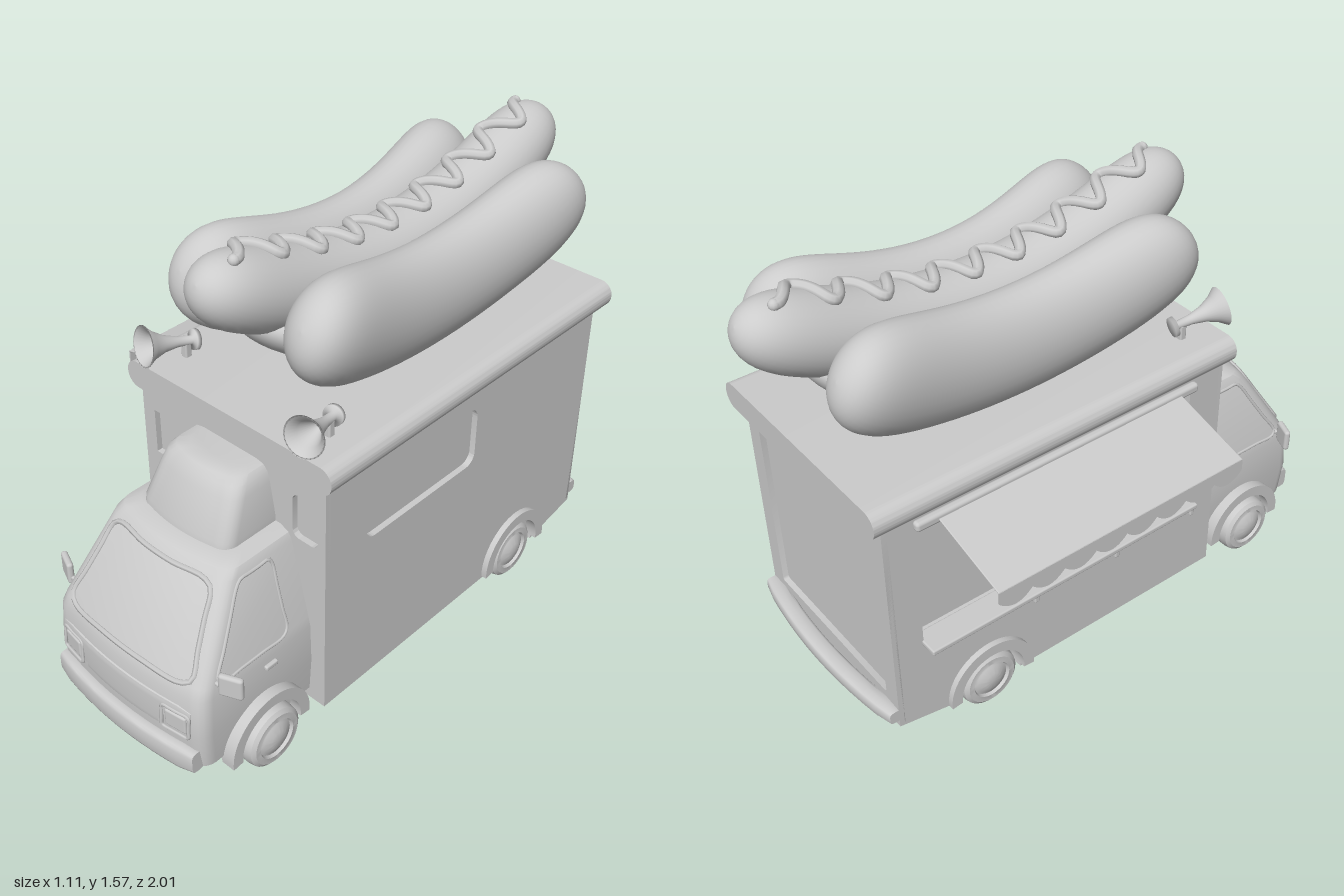
import * as THREE from 'three';
import { toCreasedNormals } from 'three/addons/utils/BufferGeometryUtils.js';
import { RoundedBoxGeometry } from 'three/addons/geometries/RoundedBoxGeometry.js';

const V = (x, y, z) => new THREE.Vector3(x, y, z);
const mat = new THREE.MeshStandardMaterial({ color: 0xcccccc, side: THREE.DoubleSide });

export function createModel() {
  const model = new THREE.Group();
  const truck = new THREE.Group();
  truck.name = 'foodTruck';
  truck.position.x = 0.13; // the awning makes the truck sit off centre
  model.add(truck);

  const add = (name, geo, x = 0, y = 0, z = 0) => {
    const m = new THREE.Mesh(geo, mat);
    m.name = name;
    m.position.set(x, y, z);
    truck.add(m);
    return m;
  };
  const box = (name, w, h, d, x, y, z, r = 0.006) =>
    add(name, new RoundedBoxGeometry(w, h, d, 2, Math.min(r, w / 2.1, h / 2.1, d / 2.1)), x, y, z);
  const extrude = (shape, depth) =>
    toCreasedNormals(new THREE.ExtrudeGeometry(shape, { depth, bevelEnabled: false, curveSegments: 16 }), 0.6);
  // Plate drawn in (z, y), running from x = xMax - depth to xMax
  const sidePlate = (name, shape, depth, xMax) => add(name, extrude(shape, depth).rotateY(-Math.PI / 2), xMax);

  const roundRect = (x0, y0, x1, y1, r, S = THREE.Path) => {
    const s = new S();
    s.absarc(x1 - r, y1 - r, r, 0, Math.PI / 2);
    s.absarc(x0 + r, y1 - r, r, Math.PI / 2, Math.PI);
    s.absarc(x0 + r, y0 + r, r, Math.PI, Math.PI * 1.5);
    s.absarc(x1 - r, y0 + r, r, Math.PI * 1.5, Math.PI * 2);
    s.closePath();
    return s;
  };

  // Closed skin over a stack of equal rings
  const skin = (rings, crease) => {
    const n = rings[0].length, pos = [], idx = [];
    rings.flat().forEach(p => pos.push(p.x, p.y, p.z));
    for (let i = 0; i < rings.length - 1; i++) for (let j = 0; j < n; j++) {
      const a = i * n + j, b = i * n + (j + 1) % n;
      idx.push(a, b, b + n, a, b + n, a + n);
    }
    [0, rings.length - 1].forEach((k, top) => {
      const c = pos.length / 3;
      const mid = rings[k].reduce((s, p) => s.add(p), V(0, 0, 0)).divideScalar(n);
      pos.push(mid.x, mid.y, mid.z);
      for (let j = 0; j < n; j++) {
        const a = k * n + j, b = k * n + (j + 1) % n;
        top ? idx.push(c, a, b) : idx.push(c, b, a);
      }
    });
    const g = new THREE.BufferGeometry();
    g.setAttribute('position', new THREE.Float32BufferAttribute(pos, 3));
    g.setIndex(idx);
    g.computeVertexNormals();
    return crease ? toCreasedNormals(g, crease) : g;
  };

  // ---- Box body: core plus wall plates with openings
  const profile = (inset, arch) => {
    const s = new THREE.Shape(), zb = -0.84 + inset, zf = 0.48 - inset;
    s.moveTo(-0.74, 0.08);
    if (arch) s.absarc(-0.49, 0.105, 0.125, Math.PI + 0.2, -0.2, true);
    s.lineTo(zf, 0.08); s.lineTo(zf, 0.95); s.lineTo(zb, 0.95); s.lineTo(zb, 0.125);
    s.closePath();
    return s;
  };
  sidePlate('bodyCore', profile(0.02), 0.70, 0.365);
  const rightWall = profile(0, true);
  rightWall.holes.push(roundRect(-0.22, 0.65, 0.30, 0.87, 0.04));
  sidePlate('windowWall', rightWall, 0.02, 0.385);
  const servingWall = profile(0, true);
  servingWall.holes.push(roundRect(-0.73, 0.44, 0.34, 0.89, 0.008));
  sidePlate('servingWall', servingWall, 0.05, -0.335);

  const frontWall = roundRect(-0.385, 0.08, 0.385, 0.95, 0.01, THREE.Shape);
  for (const s of [-1, 1]) frontWall.holes.push(roundRect(s * 0.305 - 0.05, 0.71, s * 0.305 + 0.05, 0.87, 0.025));
  add('frontWall', extrude(frontWall, 0.02), 0, 0, 0.46);
  const backWall = roundRect(-0.385, 0.125, 0.385, 0.95, 0.01, THREE.Shape);
  backWall.holes.push(roundRect(-0.32, 0.23, 0.32, 0.91, 0.01));
  add('backWall', extrude(backWall, 0.02), 0, 0, -0.84);
  add('roof', extrude(roundRect(-0.4225, 0.945, 0.4225, 1.038, 0.045, THREE.Shape), 1.38), 0, 0, -0.88);

  // ---- Serving side: counter, posts, awning, fixtures
  box('counter', 0.10, 0.02, 1.09, -0.395, 0.432, -0.19);
  for (const z of [-0.41, -0.04]) box('windowPost', 0.025, 0.46, 0.025, -0.365, 0.665, z);
  box('awningRail', 0.03, 0.035, 1.09, -0.395, 0.912, -0.19, 0.012);
  for (const z of [-0.3, 0.04, 0.38]) box('latch', 0.015, 0.035, 0.02, -0.39, 0.36, z);
  const slope = Math.atan2(0.085, 0.30);
  box('awning', 0.312, 0.007, 0.94, -0.54, 0.873, -0.19).rotation.z = slope;
  const valance = new THREE.Shape();
  const scallops = 8, sw = 0.94 / scallops;
  valance.moveTo(0.28, 0.832);
  valance.lineTo(-0.66, 0.832);
  valance.lineTo(-0.66, 0.79);
  for (let i = 0; i < scallops; i++) {
    const z = -0.66 + i * sw;
    valance.quadraticCurveTo(z + sw / 2, 0.73, z + sw, 0.79);
  }
  valance.closePath();
  sidePlate('awningValance', valance, 0.005, -0.686);

  // ---- Cab and roof fairing: stacks of rounded sections [y, half width, front z]
  const section = ([y, w, zf], r, bow) => {
    const pts = [V(w, y, 0.47), V(-w, y, 0.47)];
    const cz = zf - bow - r;
    for (let k = 0; k <= 5; k++) {
      const a = Math.PI - k * Math.PI / 10;
      pts.push(V(-w + r + r * Math.cos(a), y, cz + r * Math.sin(a)));
    }
    for (let k = 1; k < 10; k++) {
      const u = k / 5 - 1;
      pts.push(V(u * (w - r), y, zf - bow * u * u));
    }
    for (let k = 0; k <= 5; k++) {
      const a = Math.PI / 2 - k * Math.PI / 10;
      pts.push(V(w - r + r * Math.cos(a), y, cz + r * Math.sin(a)));
    }
    return pts;
  };
  const cabLevels = [[0.09, 0.30, 0.93], [0.12, 0.322, 0.96], [0.25, 0.33, 0.97], [0.39, 0.325, 0.96],
    [0.425, 0.317, 0.945], [0.69, 0.25, 0.78], [0.712, 0.238, 0.755], [0.726, 0.205, 0.715]];
  add('cab', skin(cabLevels.map(l => section(l, 0.05, 0.025)), 0.5));
  add('roofFairing', skin([[0.71, 0.185, 0.705], [0.745, 0.185, 0.70], [0.86, 0.165, 0.645], [0.895, 0.155, 0.627],
    [0.912, 0.14, 0.608], [0.918, 0.11, 0.58]].map(l => section(l, 0.05, 0.015)), 0.6));

  // Cab half width and front z at a height
  const cabAt = y => {
    const i = Math.max(0, cabLevels.findIndex(l => l[0] >= y) - 1);
    const [a, b] = [cabLevels[i], cabLevels[i + 1]], t = (y - a[0]) / (b[0] - a[0]);
    return { w: a[1] + t * (b[1] - a[1]), z: a[2] + t * (b[2] - a[2]) };
  };
  const onFront = (x, y) => {
    const c = cabAt(y);
    return V(x, y, c.z - 0.025 * (x / (c.w - 0.05)) ** 2);
  };
  // Trim following a rounded outline laid on the cab skin
  const trim = (name, corners, place, r) => {
    const pts = [], n = corners.length;
    corners.forEach((c, i) => {
      const p = new THREE.Vector2(...c), q = new THREE.Vector2(...corners[(i + 1) % n]);
      for (const t of [0.07, 0.35, 0.65, 0.93]) pts.push(place(...p.clone().lerp(q, t).toArray()));
    });
    add(name, new THREE.TubeGeometry(new THREE.CatmullRomCurve3(pts, true, 'centripetal'), 64, r, 6, true));
  };
  trim('windshieldFrame', [[-0.27, 0.425], [0.27, 0.425], [0.205, 0.685], [-0.205, 0.685]], onFront, 0.009);

  for (const s of [-1, 1]) {
    trim('sideWindowFrame', [[0.865, 0.42], [0.57, 0.42], [0.57, 0.68], [0.705, 0.68]],
      (z, y) => V(s * cabAt(y).w, y, z), 0.006);
    trim('headlightFrame', [[s * 0.23 - 0.05, 0.24], [s * 0.23 + 0.05, 0.24], [s * 0.23 + 0.05, 0.325],
      [s * 0.23 - 0.05, 0.325]], (x, y) => onFront(x, y).add(V(0, 0, 0.004)), 0.006);
    box('headlight', 0.08, 0.065, 0.02, s * 0.23, 0.283, 0.947, 0.008).rotation.y = s * 0.15;
    box('doorHandle', 0.016, 0.018, 0.05, s * 0.33, 0.36, 0.655);
    box('mirror', 0.078, 0.08, 0.022, s * 0.365, 0.445, 0.85, 0.01).rotation.y = s * -0.4 * -1;
    box('mirrorArm', 0.06, 0.014, 0.014, s * 0.325, 0.43, 0.86);
  }

  // ---- Bowed bars: bumpers and grille
  const bowedBar = (name, w, y0, y1, z, bow, thick, dir) => {
    const rings = [];
    for (let k = 0; k <= 12; k++) {
      const u = k / 6 - 1, zc = z - dir * bow * u * u, e = Math.abs(u) === 1 ? 0.85 : 1;
      rings.push([...Array(16)].map((_, j) => {
        const a = j * Math.PI / 8, sq = v => Math.sign(v) * Math.sqrt(Math.abs(v));
        return V(u * w, (y0 + y1) / 2 + e * (y1 - y0) / 2 * sq(Math.cos(a)), zc + e * thick / 2 * sq(Math.sin(a)));
      }));
    }
    add(name, skin(rings, 0.7));
  };
  bowedBar('frontBumper', 0.305, 0.11, 0.2, 0.97, 0.03, 0.055, 1);
  bowedBar('grille', 0.285, 0.225, 0.35, 0.962, 0.028, 0.018, 1);
  bowedBar('rearBumper', 0.385, 0.15, 0.205, -0.883, 0.035, 0.06, -1);

  // ---- Wheels and fenders
  const tyre = [[0, -0.05], [0.09, -0.06], [0.103, -0.05], [0.107, -0.03], [0.107, 0.03], [0.103, 0.05], [0.09, 0.06],
    [0.07, 0.06], [0.065, 0.05], [0.055, 0.055], [0.03, 0.066], [0, 0.068]].map(p => new THREE.Vector2(...p));
  const wheelGeo = toCreasedNormals(new THREE.LatheGeometry(tyre, 32), 0.6);
  const fender = new THREE.Shape();
  fender.absarc(0, 0, 0.165, -0.1, Math.PI + 0.1);
  fender.absarc(0, 0, 0.125, Math.PI + 0.1, -0.1, true);
  fender.closePath();
  for (const [z, out, reach] of [[0.69, 0.325, 0.365], [-0.49, 0.335, 0.405]]) for (const s of [-1, 1]) {
    add('wheel', wheelGeo, s * out, 0.107, z).rotation.z = -s * Math.PI / 2;
    sidePlate('fender', fender, 0.05, s > 0 ? reach : 0.05 - reach).position.set(s > 0 ? reach : 0.05 - reach, 0.105, z);
  }

  // ---- Roof horns
  const horn = [[0, 0], [0.033, 0], [0.033, 0.014], [0.014, 0.02], [0.017, 0.07], [0.027, 0.115], [0.045, 0.155],
    [0.066, 0.182], [0.06, 0.182], [0.04, 0.155], [0.012, 0.09], [0, 0.088]].map(p => new THREE.Vector2(...p));
  for (const s of [-1, 1]) {
    const h = add('horn', new THREE.LatheGeometry(horn, 28), s * 0.285, 1.085, 0.335);
    h.quaternion.setFromUnitVectors(V(0, 1, 0), V(s * 0.25, 0.2, 1).normalize());
    box('hornMount', 0.025, 0.06, 0.025, s * 0.295, 1.06, 0.37);
  }

  // ---- Hot dog: rounded rolls along an upward-curving spine
  const spine = (s, o) => ({
    c: V(0, o.y + o.rise * s * s, -0.21 + o.half * s),
    n: V(0, o.half, -2 * o.rise * s).normalize(),
    f: Math.sqrt(Math.max(0, 1 - Math.abs(s) ** o.p)),
  });
  const roll = (name, o) => {
    const rings = [];
    for (let k = 0; k <= 48; k++) {
      const s = -Math.cos(Math.PI * k / 48), { c, n, f } = spine(s, o), x = o.x(s), w = o.w(s);
      rings.push([...Array(32)].map((_, j) => {
        const a = j * Math.PI / 16;
        return c.clone().add(V(x + w * f * Math.cos(a), 0, 0)).addScaledVector(n, o.h * f * Math.sin(a));
      }));
    }
    add(name, skin(rings));
  };
  for (const side of [-1, 1]) roll('bunHalf', { y: 1.22, rise: 0.16, half: 0.635, p: 8, h: 0.18,
    x: s => side * (0.185 + 0.055 * s * s), w: s => 0.115 + 0.025 * s * s });
  roll('bunBase', { y: 1.14, rise: 0.165, half: 0.60, p: 6, h: 0.1, x: () => 0, w: () => 0.22 });
  const sausage = { y: 1.275, rise: 0.22, half: 0.79, p: 10, h: 0.13, x: () => 0, w: () => 0.13 };
  roll('sausage', sausage);

  const squiggle = [];
  for (let k = 0; k <= 110; k++) {
    const s = -0.92 + 1.84 * k / 110, { c, n, f } = spine(s, sausage);
    const a = 0.4 * Math.sin(s * 29), r = 0.135 * f;
    squiggle.push(c.add(V(r * Math.sin(a), 0, 0)).addScaledVector(n, r * Math.cos(a)));
  }
  add('mustard', new THREE.TubeGeometry(new THREE.CatmullRomCurve3(squiggle), 260, 0.018, 8));
  for (const p of [squiggle[0], squiggle[110]]) add('mustardTip', new THREE.SphereGeometry(0.018, 12, 8), p.x, p.y, p.z);

  return model;
}
